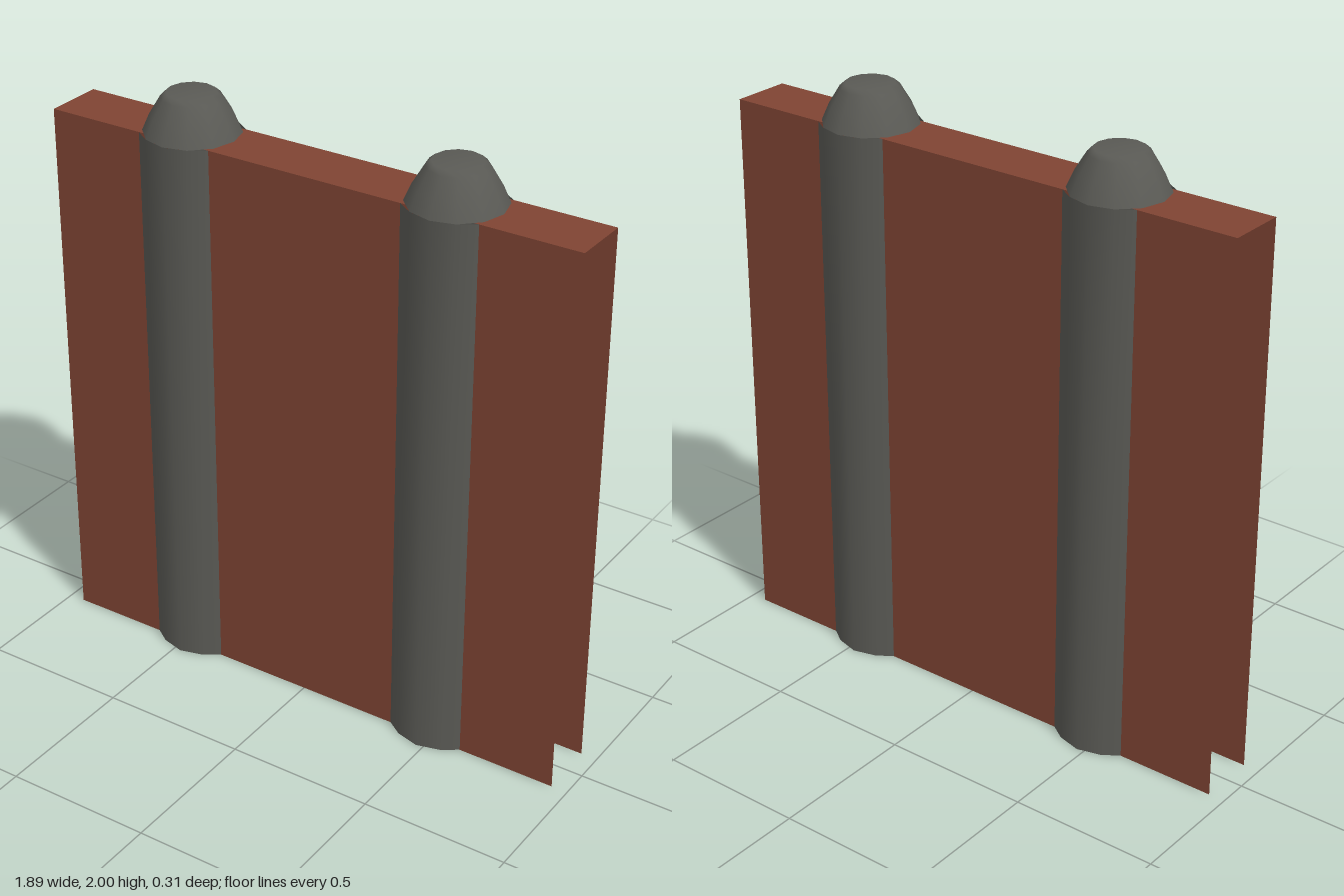
import * as THREE from 'three';

const HALF_WIDTH = 0.945, HALF_DEPTH = 0.1, WALL_TOP = 1.87;
const POST_X = 0.475, POST_HALF = 0.132;

const brick = new THREE.MeshStandardMaterial({ color: 0x7f4433, side: THREE.DoubleSide });
const iron = new THREE.MeshStandardMaterial({ color: 0x5a5a55, side: THREE.DoubleSide });

function addMesh(parent, name, geometry, material) {
  const mesh = new THREE.Mesh(geometry, material);
  mesh.name = name;
  parent.add(mesh);
  return mesh;
}

// Vertical sheet following [x, z] points from left to right, facing +z
function sheet(points) {
  const geo = new THREE.PlaneGeometry(1, WALL_TOP, points.length - 1, 1);
  const pos = geo.attributes.position;
  for (let i = 0; i < pos.count; i++) {
    const [x, z] = points[i % points.length];
    pos.setXYZ(i, x, pos.getY(i) + WALL_TOP / 2, z);
  }
  geo.computeVertexNormals();
  return geo;
}

// One face of the wall: flat panels interrupted by two hollow half-round posts
function createFace(name) {
  const face = new THREE.Group();
  face.name = name;
  const inner = POST_X - POST_HALF, outer = POST_X + POST_HALF;
  for (const [a, b] of [[-HALF_WIDTH, -outer], [-inner, inner], [outer, HALF_WIDTH]]) {
    addMesh(face, 'wallPanel', sheet([[a, HALF_DEPTH], [b, HALF_DEPTH]]), brick);
  }
  const bulge = [[-POST_HALF, HALF_DEPTH], [-0.079, 0.136], [0, 0.157], [0.079, 0.136], [POST_HALF, HALF_DEPTH]];
  for (const side of [-1, 1]) {
    addMesh(face, 'post', sheet(bulge), iron).position.x = side * POST_X;
  }
  return face;
}

export function createModel() {
  const model = new THREE.Group();
  model.name = 'wallSegment';

  // Front and back faces, open at the ends and the bottom
  const back = createFace('backFace');
  back.rotation.y = Math.PI;
  model.add(createFace('frontFace'), back);

  // Top strip
  const top = new THREE.PlaneGeometry(2 * HALF_WIDTH, 2 * HALF_DEPTH).rotateX(-Math.PI / 2);
  addMesh(model, 'wallTop', top, brick).position.y = WALL_TOP;

  // Twelve-sided post caps
  const profile = [[0.157, 1.87], [0.133, 1.925], [0.097, 1.985], [0.08, 2], [0, 2]]
    .map(([r, y]) => new THREE.Vector2(r, y));
  for (const side of [-1, 1]) {
    addMesh(model, 'postCap', new THREE.LatheGeometry(profile, 12), iron).position.x = side * POST_X;
  }
  return model;
}
